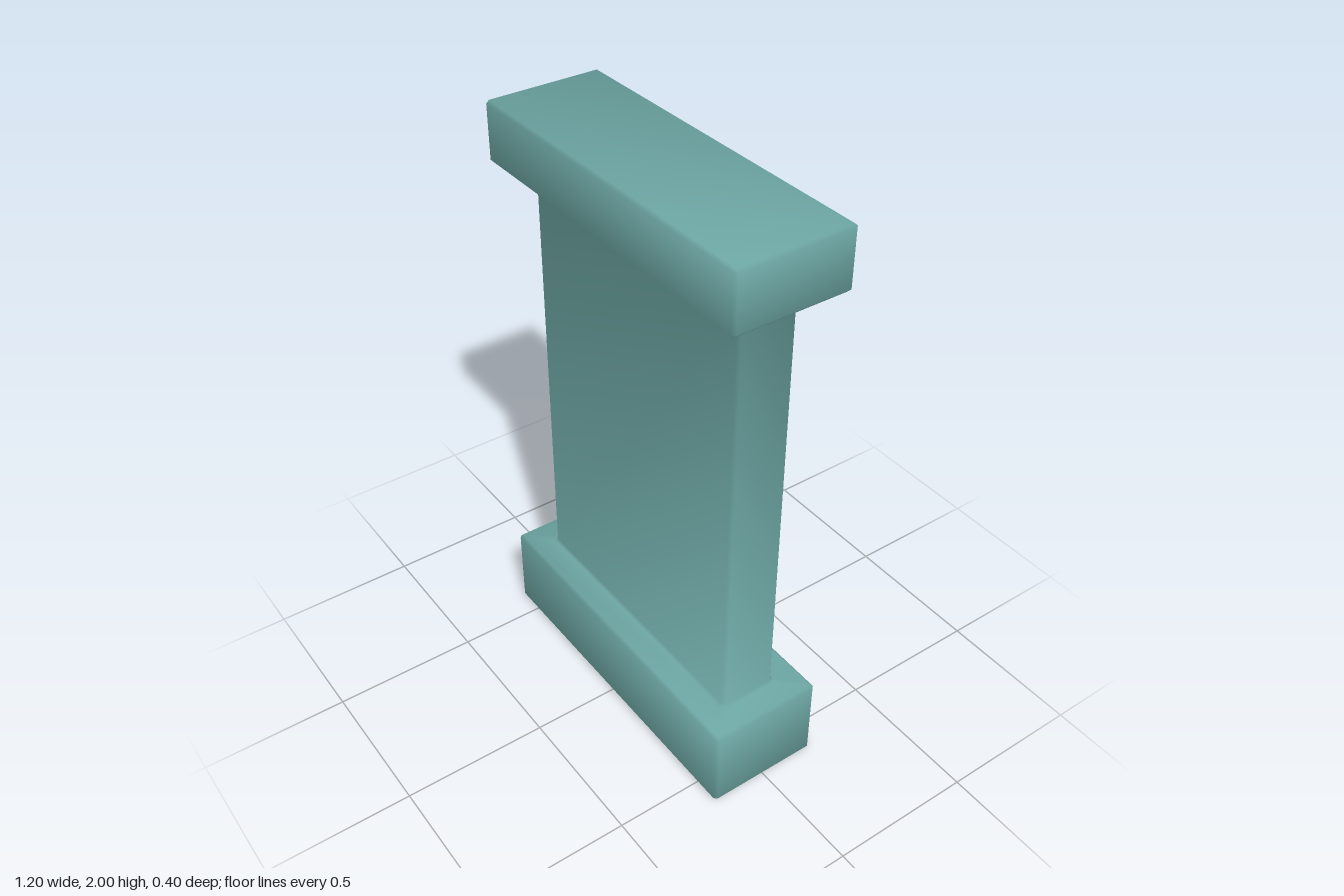
import * as THREE from 'three';

const B = 0.01; // bevel width

// Rectangle outline with cut corners, counter-clockwise from above
function ring(y, x, z, c) {
  return [
    [-x + c, z], [x - c, z], [x, z - c], [x, -z + c],
    [x - c, -z], [-x + c, -z], [-x, -z + c], [-x, z - c],
  ].map(([px, pz]) => new THREE.Vector3(px, y, pz));
}

// Cross-sections from the ground up: height, half width, half depth, corner cut
const SECTIONS = [
  [0, 0.6 - B, 0.2 - B, 0], [B, 0.6, 0.2, B],
  [0.3 - B, 0.6, 0.2, B], [0.3, 0.6 - B, 0.2 - B, 0],
  [0.3, 0.5 + B, 0.1 + B, 2 * B], [0.3 + B, 0.5, 0.1, B],
  [1.8 - B, 0.5, 0.1, B], [1.8, 0.5 + B, 0.1 + B, 2 * B],
  [1.8, 0.6 - B, 0.2 - B, 0], [1.8 + B, 0.6, 0.2, B],
  [2 - B, 0.6, 0.2, B], [2, 0.6 - B, 0.2 - B, 0],
];

export function createModel() {
  const group = new THREE.Group();
  group.name = 'pillar';
  const material = new THREE.MeshStandardMaterial({ color: 0x6ca5a2 });
  material.name = 'muted teal';

  // Shared points, so the bevels shade smoothly
  const points = [];
  const lookup = new Map();
  const pointIndex = (p) => {
    const key = p.toArray().map((v) => Math.round(v * 1e4)).join();
    if (!lookup.has(key)) {
      lookup.set(key, points.length);
      points.push(p);
    }
    return lookup.get(key);
  };
  const rings = SECTIONS.map((s) => ring(...s).map(pointIndex));
  const normals = points.map(() => new THREE.Vector3());

  // Adds a face and its angle-weighted share of the point normals
  const addFace = (list, ids) => {
    const f = ids.filter((id, i) => id !== ids[(i + 1) % ids.length]);
    if (f.length < 3) return;
    const n = new THREE.Vector3();
    for (let i = 1; i < f.length - 1; i++) {
      const [a, b, c] = [f[0], f[i], f[i + 1]];
      list.push(a, b, c);
      n.add(new THREE.Triangle(points[a], points[b], points[c]).getNormal(new THREE.Vector3()));
    }
    n.normalize();
    f.forEach((id, i) => {
      const before = points[f[(i + f.length - 1) % f.length]].clone().sub(points[id]);
      const after = points[f[(i + 1) % f.length]].clone().sub(points[id]);
      normals[id].addScaledVector(n, before.angleTo(after));
    });
  };

  // Bands of faces between neighbouring sections
  const parts = { base: [], shaft: [], capital: [] };
  for (let r = 0; r < rings.length - 1; r++) {
    const list = r < 4 ? parts.base : r < 7 ? parts.shaft : parts.capital;
    for (let j = 0; j < 8; j++) {
      const k = (j + 1) % 8;
      addFace(list, [rings[r][j], rings[r][k], rings[r + 1][k], rings[r + 1][j]]);
    }
  }

  // Underside and top
  addFace(parts.base, [...rings[0]].reverse());
  addFace(parts.capital, rings[rings.length - 1]);

  const position = new THREE.Float32BufferAttribute(points.flatMap((p) => p.toArray()), 3);
  const normal = new THREE.Float32BufferAttribute(normals.flatMap((n) => n.normalize().toArray()), 3);
  for (const [name, index] of Object.entries(parts)) {
    const geometry = new THREE.BufferGeometry();
    geometry.setAttribute('position', position);
    geometry.setAttribute('normal', normal);
    geometry.setIndex(index);
    const mesh = new THREE.Mesh(geometry, material);
    mesh.name = name;
    group.add(mesh);
  }
  return group;
}
